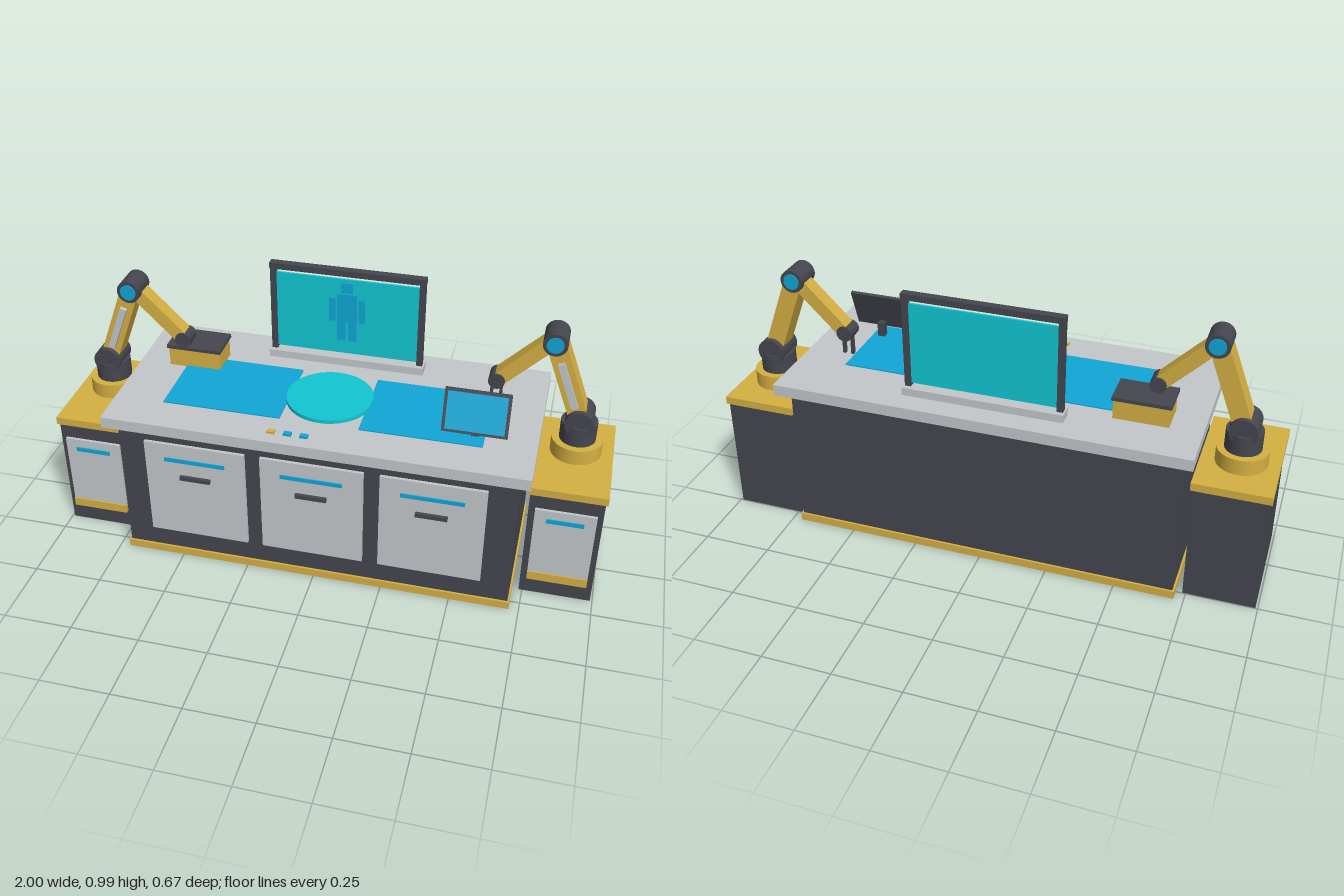
import * as THREE from 'three';

const mat = (name, color) => {
  const m = new THREE.MeshStandardMaterial({ color });
  m.name = name;
  return m;
};

export function createModel() {
  const gold = mat('gold', 0xd4af42);
  const dark = mat('charcoal', 0x45464f);
  const grey = mat('light grey', 0xc3c7ca);
  const teal = mat('teal', 0x10c6d2);
  const blue = mat('blue', 0x10a6d6);

  const model = new THREE.Group();
  model.name = 'workstation';

  const group = (name, parent = model) => {
    const g = new THREE.Group();
    g.name = name;
    parent.add(g);
    return g;
  };
  const add = (parent, name, geometry, material, x, y, z) => {
    const m = new THREE.Mesh(geometry, material);
    m.name = name;
    m.position.set(x, y, z);
    parent.add(m);
    return m;
  };
  // Box given by its extents along each axis
  const box = (parent, name, material, [x0, x1], [y0, y1], [z0, z1]) =>
    add(parent, name, new THREE.BoxGeometry(Math.abs(x1 - x0), y1 - y0, z1 - z0), material,
      (x0 + x1) / 2, (y0 + y1) / 2, (z0 + z1) / 2);
  // Upright cylinder
  const drum = (parent, name, material, r, x, z, [y0, y1]) =>
    add(parent, name, new THREE.CylinderGeometry(r, r, y1 - y0, 40), material, x, (y0 + y1) / 2, z);
  // Cylinder lying along z
  const joint = (parent, name, material, r, x, y, z, length) => {
    const m = add(parent, name, new THREE.CylinderGeometry(r, r, length, 32), material, x, y, z);
    m.rotation.x = Math.PI / 2;
    return m;
  };
  // Bar between two points of a plane of constant z
  const bar = (parent, name, material, a, b, z, thick, depth) => {
    const dx = b[0] - a[0], dy = b[1] - a[1];
    const m = add(parent, name, new THREE.BoxGeometry(thick, Math.hypot(dx, dy), depth), material,
      (a[0] + b[0]) / 2, (a[1] + b[1]) / 2, z);
    m.rotation.z = Math.atan2(-dx, dy);
    return m;
  };

  // Desk
  const desk = group('desk');
  box(desk, 'plinth', gold, [-0.715, 0.715], [0, 0.03], [-0.291, 0.291]);
  box(desk, 'body', dark, [-0.708, 0.708], [0.03, 0.57], [-0.283, 0.283]);
  box(desk, 'counter', grey, [-0.745, 0.745], [0.57, 0.612], [-0.337, 0.337]);
  for (const x of [-0.427, -0.003, 0.422]) {
    const door = group('door', desk);
    box(door, 'doorPanel', grey, [x - 0.184, x + 0.184], [0.113, 0.505], [0.283, 0.295]);
    box(door, 'lightStrip', blue, [x - 0.111, x + 0.111], [0.434, 0.449], [0.295, 0.3]);
    box(door, 'handle', dark, [x - 0.056, x + 0.056], [0.364, 0.379], [0.295, 0.308]);
  }

  // Work surface
  const surface = group('workSurface');
  box(surface, 'leftPad', blue, [0.14, 0.565], [0.612, 0.616], [-0.125, 0.195]);
  box(surface, 'rightPad', blue, [-0.565, -0.14], [0.612, 0.616], [-0.125, 0.195]);
  drum(surface, 'roundPlate', teal, 0.155, 0, 0.032, [0.612, 0.626]);
  [gold, blue, blue].forEach((m, i) => {
    const x = -0.145 + i * 0.058;
    box(surface, 'button', m, [x - 0.014, x + 0.014], [0.612, 0.62], [0.27, 0.289]);
  });

  // Part container under the right arm
  const container = group('partContainer');
  box(container, 'containerBody', gold, [-0.63, -0.437], [0.612, 0.684], [-0.17, -0.052]);
  box(container, 'containerLid', dark, [-0.636, -0.432], [0.684, 0.697], [-0.178, -0.045]);

  // Large display with a figure on its front
  const display = group('display');
  box(display, 'displayBase', grey, [-0.29, 0.29], [0.612, 0.641], [-0.255, -0.197]);
  for (const s of [-1, 1])
    box(display, 'post', dark, [s * 0.262, s * 0.284], [0.641, 0.971], [-0.237, -0.214]);
  box(display, 'topBar', dark, [-0.285, 0.285], [0.971, 0.994], [-0.24, -0.211]);
  box(display, 'screen', teal, [-0.264, 0.264], [0.652, 0.955], [-0.229, -0.221]);
  const figure = group('figure', display);
  const figureZ = [-0.221, -0.217];
  box(figure, 'head', blue, [-0.021, 0.021], [0.903, 0.942], figureZ);
  box(figure, 'torso', blue, [-0.037, 0.037], [0.785, 0.897], figureZ);
  for (const s of [-1, 1]) {
    box(figure, 'arm', blue, [s * 0.043, s * 0.066], [0.785, 0.878], figureZ);
    box(figure, 'leg', blue, [s * 0.005, s * 0.036], [0.706, 0.785], figureZ);
  }

  // Small tilted monitor
  const monitor = group('monitor');
  box(monitor, 'monitorStand', dark, [0.517, 0.543], [0.612, 0.67], [0.115, 0.141]);
  const tilted = group('tiltedPanel', monitor);
  tilted.position.set(0.53, 0.712, 0.142);
  tilted.rotation.x = -0.34;
  box(tilted, 'monitorFrame', dark, [-0.112, 0.112], [-0.076, 0.076], [-0.007, 0.005]);
  box(tilted, 'monitorScreen', blue, [-0.101, 0.101], [-0.066, 0.066], [0.005, 0.008]);

  // Side cabinets, each carrying a robot arm
  for (const s of [-1, 1]) {
    const side = s > 0 ? 'left' : 'right';
    const cabinet = group(side + 'Cabinet');
    box(cabinet, 'cabinetBody', dark, [s * 0.738, s * 0.992], [0, 0.44], [-0.248, 0.179]);
    box(cabinet, 'cabinetTop', gold, [s * 0.73, s], [0.44, 0.469], [-0.256, 0.187]);
    box(cabinet, 'cabinetPanel', grey, [s * 0.761, s * 0.972], [0.105, 0.383], [0.179, 0.19]);
    box(cabinet, 'kickStrip', gold, [s * 0.761, s * 0.972], [0.071, 0.105], [0.179, 0.195]);
    box(cabinet, 'lightStrip', blue, [s * 0.802, s * 0.932], [0.334, 0.35], [0.19, 0.195]);

    const z = -0.07;
    const shoulder = [s * 0.868, 0.61], elbow = [s * 0.755, 0.911], wrist = [s * 0.571, 0.727];
    const along = (a, b, t) => [a[0] + (b[0] - a[0]) * t, a[1] + (b[1] - a[1]) * t];
    const arm = group(side + 'RobotArm');
    drum(arm, 'armBase', gold, 0.09, s * 0.868, z, [0.469, 0.526]);
    drum(arm, 'turret', dark, 0.064, s * 0.868, z, [0.526, 0.598]);
    joint(arm, 'shoulderJoint', dark, 0.05, ...shoulder, z, 0.112);
    bar(arm, 'upperArm', gold, shoulder, along(shoulder, elbow, 0.92), z, 0.066, 0.073);
    bar(arm, 'armRail', grey, along(shoulder, elbow, 0.2), along(shoulder, elbow, 0.76), z + 0.043, 0.024, 0.014);
    joint(arm, 'elbowJoint', dark, 0.042, ...elbow, z, 0.1);
    for (const f of [-1, 1]) joint(arm, 'elbowCap', blue, 0.029, ...elbow, z + f * 0.051, 0.006);
    bar(arm, 'forearm', gold, elbow, wrist, z - 0.005, 0.05, 0.055);
    joint(arm, 'wristJoint', dark, 0.029, ...wrist, z - 0.005, 0.066);
    for (const f of [-1, 1]) {
      const x = wrist[0] + f * 0.016;
      box(arm, 'gripperFinger', dark, [x - 0.005, x + 0.005], [0.637, 0.715], [z - 0.013, z + 0.003]);
    }
  }

  return model;
}
